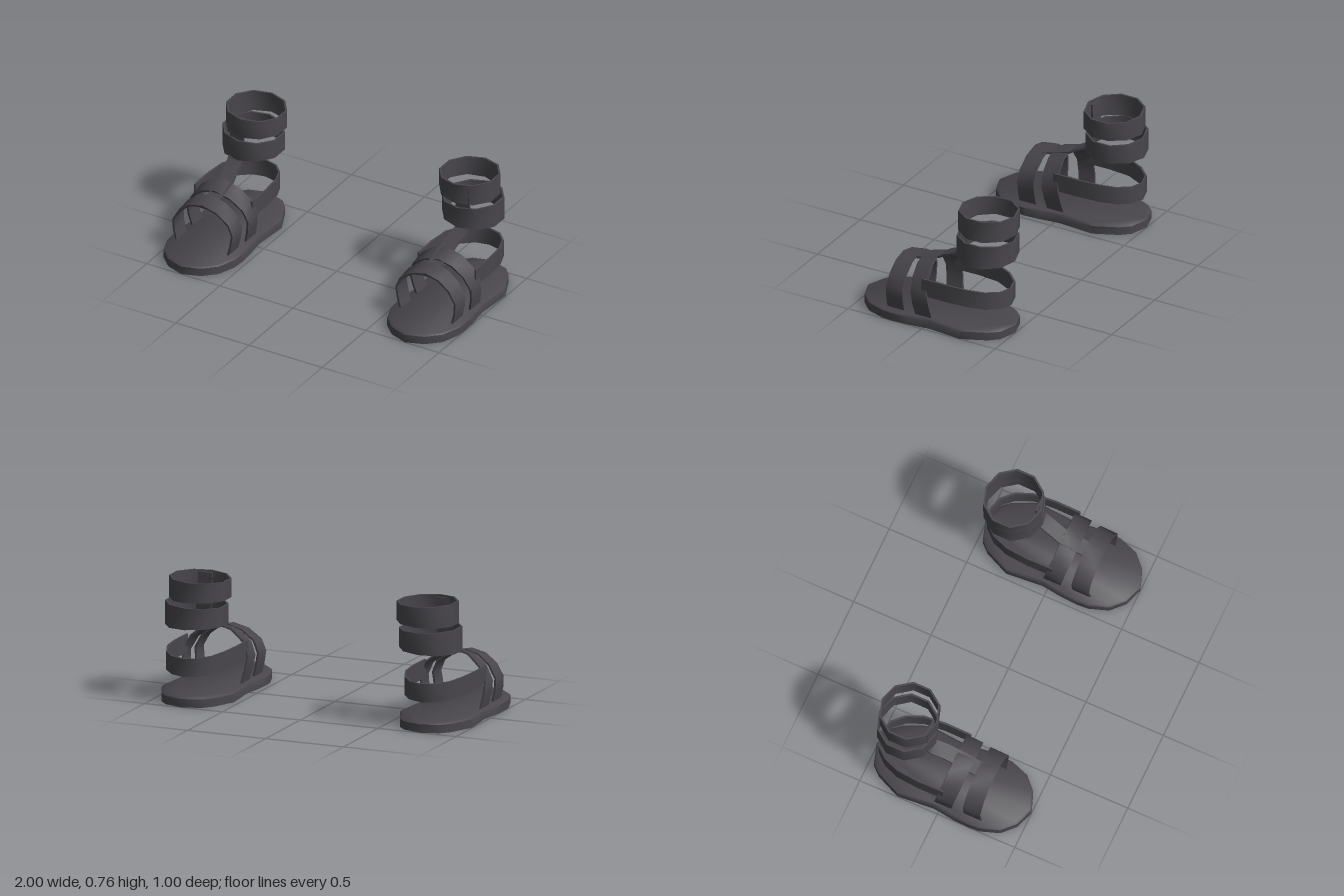
import * as THREE from 'three';
import { toCreasedNormals } from 'three/addons/utils/BufferGeometryUtils.js';

const material = new THREE.MeshStandardMaterial({ color: 0x48464b });
const V = (x, y, z) => new THREE.Vector3(x, y, z);
const CX = 0.765; // sideways position of each sandal

// Skin a row of equal-sized rings; side = -1 mirrors the result in x
function loft(rings, closed, side) {
  const pos = [];
  const tri = (...p) => {
    if (side < 0) p.reverse();
    for (const v of p) pos.push(side * (v.x + CX), v.y, v.z);
  };
  const n = rings.length, m = rings[0].length;
  for (let i = 0; i < (closed ? n : n - 1); i++) {
    const r = rings[i], s = rings[(i + 1) % n];
    for (let j = 0; j < m; j++) {
      const k = (j + 1) % m;
      tri(r[j], s[j], s[k]);
      tri(r[j], s[k], r[k]);
    }
  }
  if (!closed) {
    const a = rings[0], b = rings[n - 1];
    for (let j = 1; j < m - 1; j++) {
      tri(a[0], a[j], a[j + 1]);
      tri(b[0], b[j + 1], b[j]);
    }
  }
  const geo = new THREE.BufferGeometry();
  geo.setAttribute('position', new THREE.Float32BufferAttribute(pos, 3));
  return toCreasedNormals(geo, 0.8);
}

// Thin strap between two edge lines, given as [edgeA, edgeB] pairs
function strap(pairs, side, closed = false, thick = 0.012) {
  const n = pairs.length;
  const mid = pairs.map(([a, b]) => a.clone().add(b).multiplyScalar(0.5));
  const rings = pairs.map(([a, b], i) => {
    const next = closed ? (i + 1) % n : Math.min(i + 1, n - 1);
    const prev = closed ? (i + n - 1) % n : Math.max(i - 1, 0);
    const inward = mid[next].clone().sub(mid[prev]).cross(b.clone().sub(a)).setLength(-thick);
    return [a, b, b.clone().add(inward), a.clone().add(inward)];
  });
  return loft(rings, closed, side);
}

// Sole with a small bevel round its top edge
function sole(side) {
  const half = [[0.115, -0.465], [0.165, -0.41], [0.232, -0.26], [0.213, -0.03], [0.23, 0.1],
    [0.235, 0.2], [0.23, 0.27], [0.19, 0.385], [0.112, 0.46]];
  const outline = [[0, -0.5], ...half, [0, 0.5], ...half.map(([x, z]) => [-x, z]).reverse()];
  const ring = (y, s) => outline.map(([x, z]) => V(x * s, y, z * (s + 1) / 2));
  return loft([ring(0, 1), ring(0.05, 1), ring(0.06, 0.955)], false, side);
}

// Arch over the foot: front and back edges have their own height and slant
const ARCH = [[-0.185, 0], [-0.203, 0.22], [-0.215, 0.48], [-0.185, 0.72], [-0.1, 0.92], [0, 1],
  [0.09, 0.93], [0.165, 0.74], [0.21, 0.48], [0.207, 0.25], [0.19, 0]];
function arch(side, scale, front, back) {
  const edge = ([x, h], [z0, z1, top]) =>
    V(x * scale, 0.055 + h * (top - 0.055), z0 + h * (z1 - z0));
  return strap(ARCH.map(p => [edge(p, front), edge(p, back)]), side);
}

// Strap round the heel, dipping towards the back
function heelStrap(side) {
  const path = [[0.2, 0.02, 0.2], [0.202, -0.14, 0.2], [0.19, -0.28, 0.198], [0.15, -0.38, 0.188],
    [0.085, -0.45, 0.181], [0, -0.475, 0.178], [-0.085, -0.45, 0.181], [-0.15, -0.38, 0.188],
    [-0.19, -0.28, 0.198], [-0.202, -0.14, 0.2], [-0.2, 0.02, 0.2]];
  return strap(path.map(([x, z, y]) => [V(x, y, z), V(x, y + 0.11, z)]), side);
}

// Closed band round the ankle, slightly tilted sideways
function ankleBand(side, cx, cz, r, bottom, top, tilt) {
  const pairs = [];
  for (let i = 0; i < 10; i++) {
    const a = (i + 0.5) / 10 * Math.PI * 2;
    const x = r * 1.04 * Math.cos(a), z = cz - r * 1.02 * Math.sin(a);
    pairs.push([V(cx + x, bottom - x * tilt, z), V(cx + x, top + x * tilt, z)]);
  }
  return strap(pairs, side, true);
}

// Strap running from the toes up the instep to the ankle bands
function instepStrap(side) {
  const path = [[-0.018, 0.33, 0.25], [-0.01, 0.35, 0.15], [-0.01, 0.362, 0.1], [-0.01, 0.392, 0],
    [-0.003, 0.422, -0.05], [0.01, 0.452, -0.12], [0.012, 0.475, -0.143],
    [0.008, 0.6, -0.146], [0, 0.74, -0.146]];
  return strap(path.map(([x, y, z]) => [V(x + 0.047, y, z), V(x - 0.047, y, z)]), side);
}

function sandal(side) {
  const group = new THREE.Group();
  group.name = side > 0 ? 'leftSandal' : 'rightSandal';
  const parts = {
    sole: sole(side),
    toeStrap: arch(side, 0.97, [0.26, 0.26, 0.345], [0.148, 0.152, 0.363]),
    midfootStrap: arch(side, 1, [0.068, 0.115, 0.37], [-0.042, 0.01, 0.4]),
    heelStrap: heelStrap(side),
    instepStrap: instepStrap(side),
    lowerAnkleBand: ankleBand(side, -0.014, -0.305, 0.181, 0.465, 0.596, 0.04),
    upperAnkleBand: ankleBand(side, -0.035, -0.302, 0.178, 0.626, 0.75, 0.03),
  };
  for (const [name, geo] of Object.entries(parts)) {
    const mesh = new THREE.Mesh(geo, material);
    mesh.name = name;
    group.add(mesh);
  }
  return group;
}

export function createModel() {
  const model = new THREE.Group();
  model.name = 'sandals';
  model.add(sandal(1), sandal(-1));
  return model;
}
